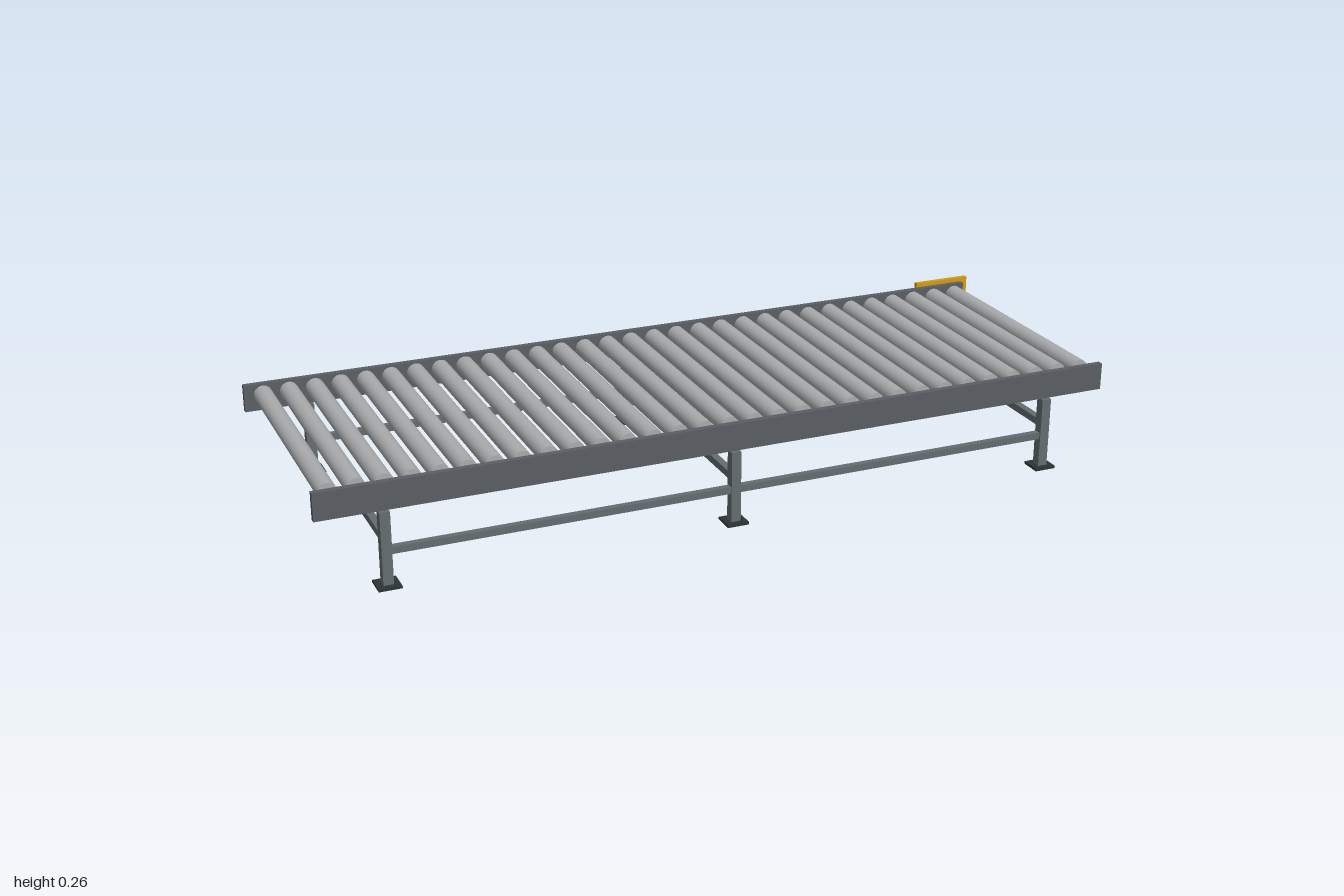
import * as THREE from 'three';

const material = (name, color) => {
  const m = new THREE.MeshStandardMaterial({ color });
  m.name = name;
  return m;
};

export function createModel() {
  const model = new THREE.Group();
  model.name = 'rollerConveyor';

  const railSteel = material('railSteel', 0x5a5e64);
  const frameSteel = material('frameSteel', 0x646c70);
  const rollerZinc = material('rollerZinc', 0xa9abad);
  const darkMetal = material('darkMetal', 0x2c3434);
  const guardYellow = material('guardYellow', 0xd39c12);

  const add = (name, geometry, mat, x, y, z, parent = model) => {
    const mesh = new THREE.Mesh(geometry, mat);
    mesh.name = name;
    mesh.position.set(x, y, z);
    parent.add(mesh);
    return mesh;
  };
  const box = (name, mat, [x0, x1], [y0, y1], [z0, z1], parent) =>
    add(name, new THREE.BoxGeometry(x1 - x0, y1 - y0, z1 - z0), mat,
      (x0 + x1) / 2, (y0 + y1) / 2, (z0 + z1) / 2, parent);
  const around = (c, half) => [c - half, c + half];

  const midX = -0.01;
  const midZ = 0.0295;
  const sides = [['left', midZ - 0.337], ['right', midZ + 0.337]];
  const legXs = [-0.845, midX, 0.824];

  // Side rails, lower stretchers, legs and feet
  const frame = new THREE.Group();
  frame.name = 'frame';
  model.add(frame);
  for (const [side, z] of sides) {
    box(`${side}Rail`, railSteel, [-1, 0.98], [0.184, 0.251], around(z, 0.0075), frame);
    box(`${side}Stretcher`, frameSteel, [legXs[0], legXs[2]], [0.077, 0.094], around(z, 0.008), frame);
    for (const x of legXs) {
      box(`${side}Leg`, frameSteel, around(x, 0.012), [0.004, 0.181], around(z, 0.012), frame);
      box(`${side}Foot`, darkMetal, around(x, 0.027), [0, 0.006], around(z, 0.027), frame);
    }
  }

  // Cross members between leg pairs
  for (const x of legXs) {
    box('crossMember', frameSteel, around(x, 0.009), [0.107, 0.125], [sides[0][1], sides[1][1]], frame);
  }

  // Rollers with short shaft ends
  const rollers = new THREE.Group();
  rollers.name = 'rollers';
  model.add(rollers);
  const rollerGeometry = new THREE.CylinderGeometry(0.0225, 0.0225, 0.618, 24).rotateX(Math.PI / 2);
  const shaftGeometry = new THREE.CylinderGeometry(0.003, 0.003, 0.02, 8).rotateX(Math.PI / 2);
  const count = 31;
  for (let i = 0; i < count; i++) {
    const x = midX + (i - (count - 1) / 2) * 0.0632;
    add('roller', rollerGeometry, rollerZinc, x, 0.232, midZ, rollers);
    add('rollerShaft', shaftGeometry, darkMetal, x, 0.232, -0.276, rollers);
  }

  // Drive: gearbox, motor and safety guard
  const drive = new THREE.Group();
  drive.name = 'drive';
  model.add(drive);
  box('gearbox', darkMetal, [0.811, 0.889], [0.114, 0.193], [-0.391, -0.316], drive);
  add('motor', new THREE.CylinderGeometry(0.028, 0.028, 0.126, 24).rotateZ(Math.PI / 2),
    darkMetal, 0.752, 0.153, -0.359, drive);
  box('driveGuard', guardYellow, [0.845, 1], [0.189, 0.261], [-0.329, -0.317], drive);

  return model;
}
